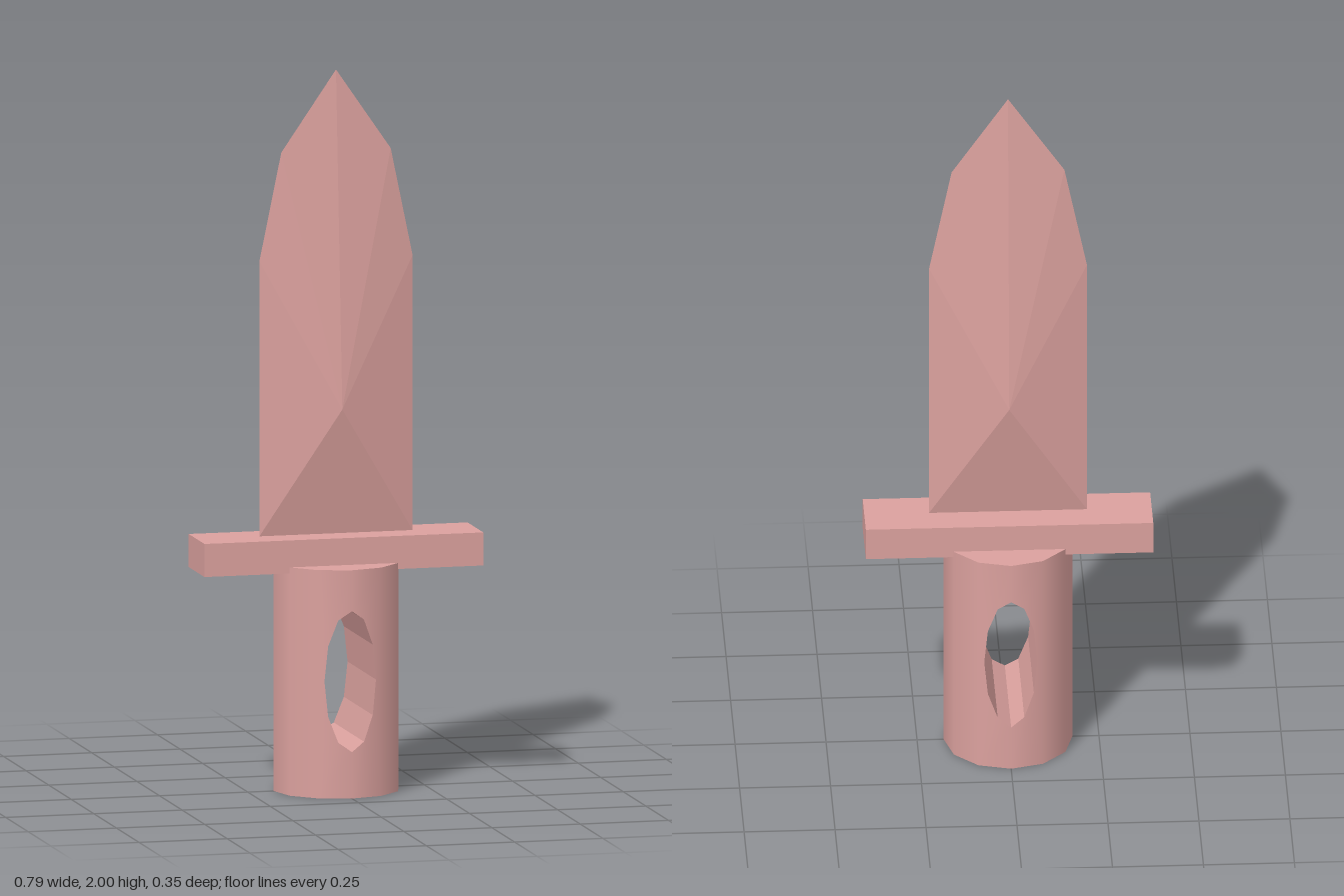
import * as THREE from 'three';
import { mergeGeometries } from 'three/addons/utils/BufferGeometryUtils.js';

const R = 0.177, H = 0.635;                 // grip radius and height
const HX = 0.073, HY = 0.196, HC = 0.325;   // grip hole radii and centre height
const facetZ = x => R - Math.abs(x) * Math.tan(Math.PI / 12);

// One of the two front facets of the grip, with half of the hole cut out
function holedFacet(side) {
  const w = R / 2 * side;
  const pts = [[0, 0], [w, 0], [w, H], [0, H]];
  for (let i = 0; i <= 6; i++) {
    const a = Math.PI * i / 6;
    pts.push([side * HX * Math.sin(a), HC + HY * Math.cos(a)]);
  }
  const geo = new THREE.ShapeGeometry(new THREE.Shape(pts.map(p => new THREE.Vector2(...p))));
  const pos = geo.attributes.position;
  for (let i = 0; i < pos.count; i++) {
    const x = pos.getX(i), z = facetZ(x), l = Math.hypot(x, z);
    pos.setZ(i, z);
    geo.attributes.normal.setXYZ(i, x / l, 0, z / l);
  }
  return geo;
}

// Twelve-sided grip shell: holed facets front and back, plain facets between, end caps
function gripGeometry() {
  const parts = [];
  for (const turn of [0, Math.PI]) {
    for (const side of [-1, 1]) parts.push(holedFacet(side).rotateY(turn));
    parts.push(new THREE.CylinderGeometry(R, R, H, 4, 1, true, Math.PI / 6 + turn, Math.PI * 2 / 3)
      .translate(0, H / 2, 0));
  }
  parts.push(new THREE.CircleGeometry(R, 12).rotateX(-Math.PI / 2).translate(0, H, 0));
  parts.push(new THREE.CircleGeometry(R, 12).rotateX(Math.PI / 2));
  return mergeGeometries(parts);
}

// Oval tunnel through the grip, facing inwards
function tunnelGeometry() {
  const geo = new THREE.CylinderGeometry(1, 1, 2, 12, 1, true)
    .rotateX(Math.PI / 2).scale(-HX, HY, 1).translate(0, HC, 0).toNonIndexed();
  const pos = geo.attributes.position;
  for (let i = 0; i < pos.count; i++) pos.setZ(i, Math.sign(pos.getZ(i)) * facetZ(pos.getX(i)));
  geo.computeVertexNormals();
  return geo;
}

// Blade: a flat outline fanned to one raised point on each face
function bladeGeometry() {
  const outline = [[-0.217, 0.71], [0.217, 0.71], [0.217, 1.475], [0.155, 1.775],
    [0, 2], [-0.155, 1.775], [-0.217, 1.475]];
  const v = [];
  outline.forEach((a, i) => {
    const b = outline[(i + 1) % outline.length];
    v.push(...a, 0, ...b, 0, 0, 1.065, 0.07);
    v.push(...b, 0, ...a, 0, 0, 1.065, -0.07);
  });
  const geo = new THREE.BufferGeometry();
  geo.setAttribute('position', new THREE.Float32BufferAttribute(v, 3));
  geo.computeVertexNormals();
  return geo;
}

export function createModel() {
  const model = new THREE.Group();
  model.name = 'dagger';
  const rose = new THREE.MeshStandardMaterial({ color: 0xdba19e });
  rose.name = 'dusty rose';

  const add = (name, geo) => {
    const mesh = new THREE.Mesh(geo, rose);
    mesh.name = name;
    model.add(mesh);
  };
  add('grip', gripGeometry());
  add('gripHole', tunnelGeometry());
  add('crossguard', new THREE.BoxGeometry(0.79, 0.092, 0.175).translate(0, 0.664, 0));
  add('blade', bladeGeometry());
  return model;
}
